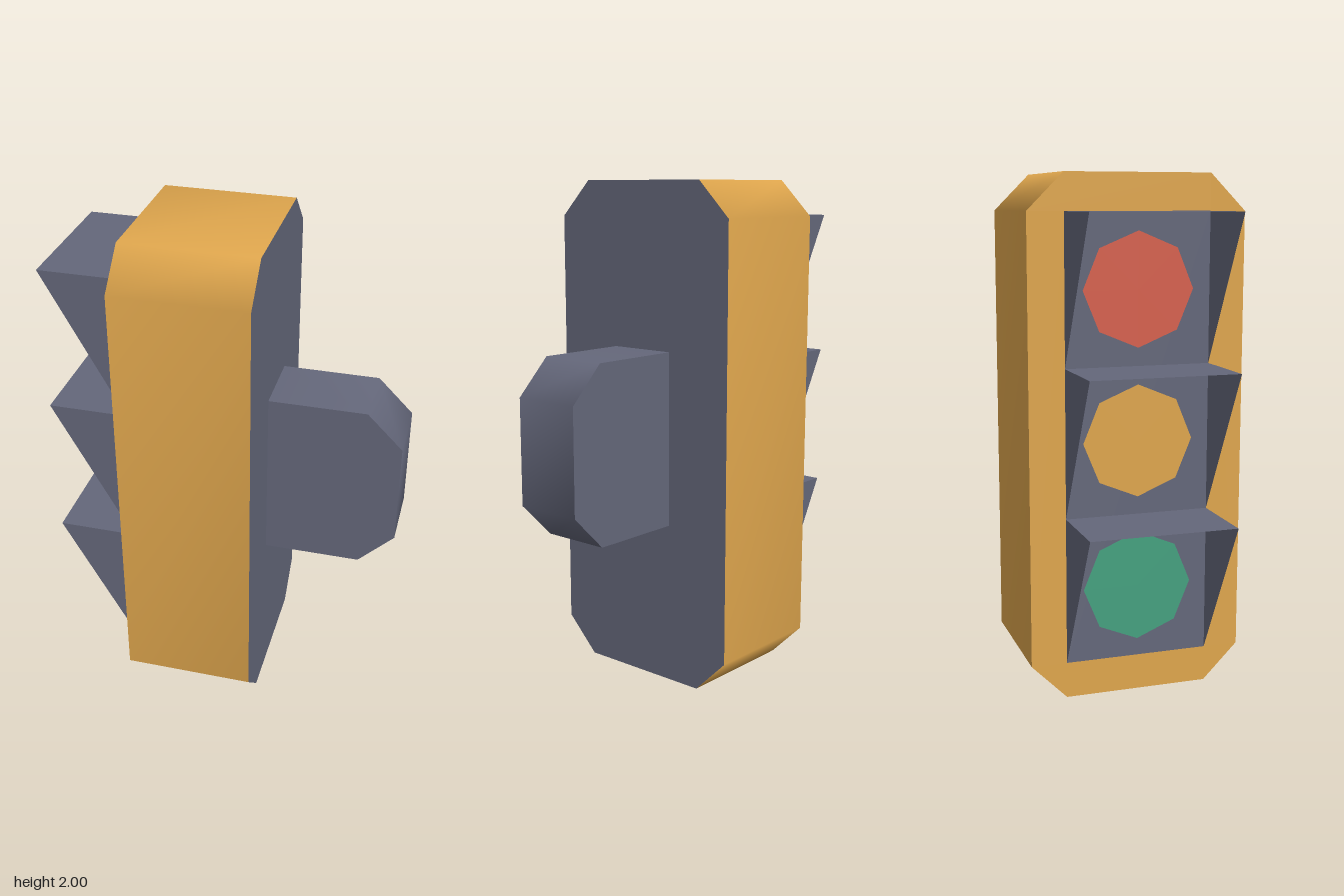
import * as THREE from 'three';
import { mergeVertices } from 'three/addons/utils/BufferGeometryUtils.js';

const material = (name, color, side = THREE.FrontSide) =>
  Object.assign(new THREE.MeshStandardMaterial({ color, side }), { name });

// Chamfered rectangle corners, counter-clockwise
function chamfered(w, h, c) {
  return [[w - c, -h], [w, -h + c], [w, h - c], [w - c, h],
    [-w + c, h], [-w, h - c], [-w, -h + c], [-w + c, -h]];
}
const toShape = (pts) => new THREE.Shape(pts.map(([x, y]) => new THREE.Vector2(x, y)));

function fromTriangles(corners) {
  const g = new THREE.BufferGeometry();
  g.setAttribute('position', new THREE.Float32BufferAttribute(corners.flat(), 3));
  return g;
}

// Softly shaded wall joining two matching rows of points
function softWall(rowA, rowB) {
  const corners = [];
  for (let i = 0; i < rowA.length - 1; i++) {
    corners.push(rowA[i], rowB[i + 1], rowA[i + 1], rowA[i], rowB[i], rowB[i + 1]);
  }
  const g = mergeVertices(fromTriangles(corners));
  g.computeVertexNormals();
  return g;
}

export function createModel() {
  const orange = material('orange', 0xdfa64d);
  const grey = material('slate grey', 0x64677a);
  const visorGrey = material('visor grey', 0x64677a, THREE.DoubleSide);
  const red = material('red', 0xd6604d);
  const green = material('green', 0x45a17f);

  const root = new THREE.Group();
  root.name = 'trafficLight';
  const add = (name, geometry, mat, x = 0, y = 0, z = 0) => {
    const mesh = new THREE.Mesh(geometry, mat);
    mesh.name = name;
    mesh.position.set(x, y, z);
    root.add(mesh);
    return mesh;
  };

  const front = -0.366, back = 0.157, tip = -0.68;
  const half = 0.285, cell = 0.573, bottom = 0.14;
  const outline = chamfered(0.425, 1, 0.14);

  // Casing rim with softly shaded chamfers
  const ring = [...outline, outline[0]];
  const ringAt = (x) => ring.map(([z, y]) => [x, y, z]);
  add('casingRim', softWall(ringAt(front), ringAt(back)), orange, 0, 1, 0);

  // Frame around the lamps, and the plain back
  const frame = toShape(outline);
  frame.holes.push(toShape([[-half, -0.86], [-half, 0.86], [half, 0.86], [half, -0.86]]));
  add('lampFrame', new THREE.ShapeGeometry(frame), orange, front, 1, 0).rotation.y = -Math.PI / 2;
  add('casingBack', new THREE.ShapeGeometry(toShape(outline)), grey, back, 1, 0).rotation.y = Math.PI / 2;
  add('lampPanel', new THREE.PlaneGeometry(half * 2, 1.72), grey, front, 1, 0).rotation.y = -Math.PI / 2;

  // Three lamps, each under a wedge-shaped visor open at the front
  [['green', green], ['amber', orange], ['red', red]].forEach(([name, mat], i) => {
    const y0 = bottom + i * cell, y1 = y0 + cell;
    add(name + 'Lens', new THREE.CircleGeometry(0.217, 8), mat, front - 0.004, y0 + cell / 2, 0)
      .rotation.y = -Math.PI / 2;

    const low = (z) => [front, y0, z], high = (z) => [front, y1, z], peak = (z) => [tip, y1, z];
    const visor = fromTriangles([
      high(-half), peak(-half), peak(half), high(-half), peak(half), high(half),
      low(half), high(half), peak(half),
      low(-half), peak(-half), high(-half),
    ]);
    visor.computeVertexNormals();
    add(name + 'Visor', visor, visorGrey);
  });

  // Mounting bracket: soft chamfered edge between two flat sides
  const profile = [[back, 0.652], [0.54, 0.652], [0.68, 0.792],
    [0.68, 1.208], [0.54, 1.348], [back, 1.348]];
  const profileAt = (z) => profile.map(([x, y]) => [x, y, z]);
  add('bracketEdge', softWall(profileAt(0.14), profileAt(-0.14)), grey);
  const side = new THREE.ShapeGeometry(toShape(profile));
  add('bracketLeftSide', side, grey, 0, 0, 0.14);
  // The other side is turned over about the bracket's mid-height
  const mirrored = add('bracketRightSide', side.clone().scale(-1, 1, 1), grey, 0, 0, -0.14);
  mirrored.geometry.setIndex([...side.index.array]);
  mirrored.rotation.y = Math.PI;
  mirrored.geometry.index.array.reverse();

  return root;
}
